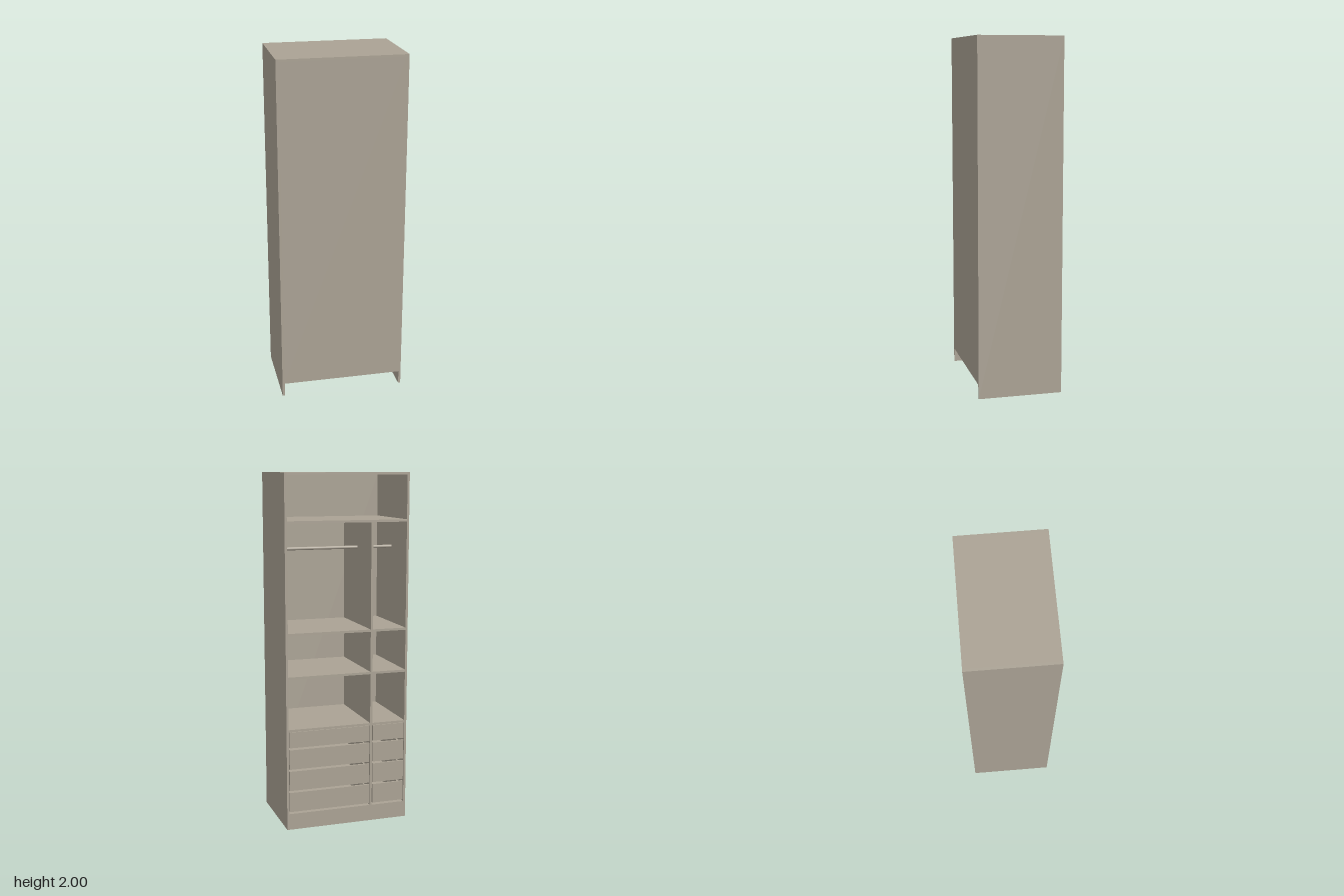
import * as THREE from 'three';

const wood = new THREE.MeshStandardMaterial({ color: 0xaaa294 });
wood.name = 'taupe wood';

const W = 0.72, D = 0.48, T = 0.013; // outer width, depth, board thickness
const X = W / 2, Z = D / 2;
const BASE = 0.08; // underside of the cabinet floor
const DIV = -0.143; // centre of the upright divider

export function createModel() {
  const model = new THREE.Group();
  model.name = 'wardrobe';

  // Board given by its lower and upper corner
  const board = (name, x0, x1, y0, y1, z0, z1, parent = model) => {
    const mesh = new THREE.Mesh(new THREE.BoxGeometry(x1 - x0, y1 - y0, z1 - z0), wood);
    mesh.position.set((x0 + x1) / 2, (y0 + y1) / 2, (z0 + z1) / 2);
    mesh.name = name;
    parent.add(mesh);
    return mesh;
  };

  // Carcass: the closed panel is at +z, the compartments open towards -z
  board('leftSide', X - T, X, 0, 2, -Z, Z);
  board('rightSide', -X, -X + T, 0, 2, -Z, Z);
  board('topPanel', -X + T, X - T, 2 - T, 2, -Z, Z);
  board('closedPanel', -X + T, X - T, BASE, 2 - T, Z - T, Z);
  board('floorPanel', -X + T, X - T, BASE, BASE + T, -Z, Z - T);
  board('plinth', -X + T, X - T, 0, BASE, -Z, -Z + T);

  // Upright divider below the top shelf
  const topShelf = 1.742;
  board('divider', DIV - T / 2, DIV + T / 2, BASE + T, topShelf - T, -Z, Z - T);
  board('topShelf', -X + T, X - T, topShelf - T, topShelf, -Z, Z - T);

  // The two bays on either side of the divider
  const bays = [[-X + T, DIV - T / 2], [DIV + T / 2, X - T]];
  for (const [x0, x1] of bays) {
    for (const y of [1.13, 0.886, 0.586]) board('shelf', x0, x1, y - T, y, -Z, Z - T);

    // Hanging rod
    const rod = new THREE.Mesh(new THREE.CylinderGeometry(0.009, 0.009, x1 - x0, 20), wood);
    rod.rotation.z = Math.PI / 2;
    rod.position.set((x0 + x1) / 2, 1.575, -0.005);
    rod.name = 'hangingRod';
    model.add(rod);

    // Four drawers, each a front with an open tray behind it
    for (let i = 0; i < 4; i++) {
      const drawer = new THREE.Group();
      drawer.name = 'drawer';
      model.add(drawer);
      const y0 = 0.105 + i * 0.125, y1 = i === 3 ? 0.571 : y0 + 0.113;
      const a = x0 + 0.004, b = x1 - 0.004, t = 0.01;
      const zf = -Z + T, zb = Z - 0.05, rim = y1 - 0.02;
      board('drawerFront', a, b, y0, y1, -Z, zf, drawer);
      board('drawerBottom', a + t, b - t, y0 + 0.005, y0 + 0.015, zf, zb, drawer);
      board('drawerSide', a, a + t, y0 + 0.005, rim, zf, zb, drawer);
      board('drawerSide', b - t, b, y0 + 0.005, rim, zf, zb, drawer);
      board('drawerEnd', a + t, b - t, y0 + 0.015, rim, zb - t, zb, drawer);
    }
  }
  return model;
}
